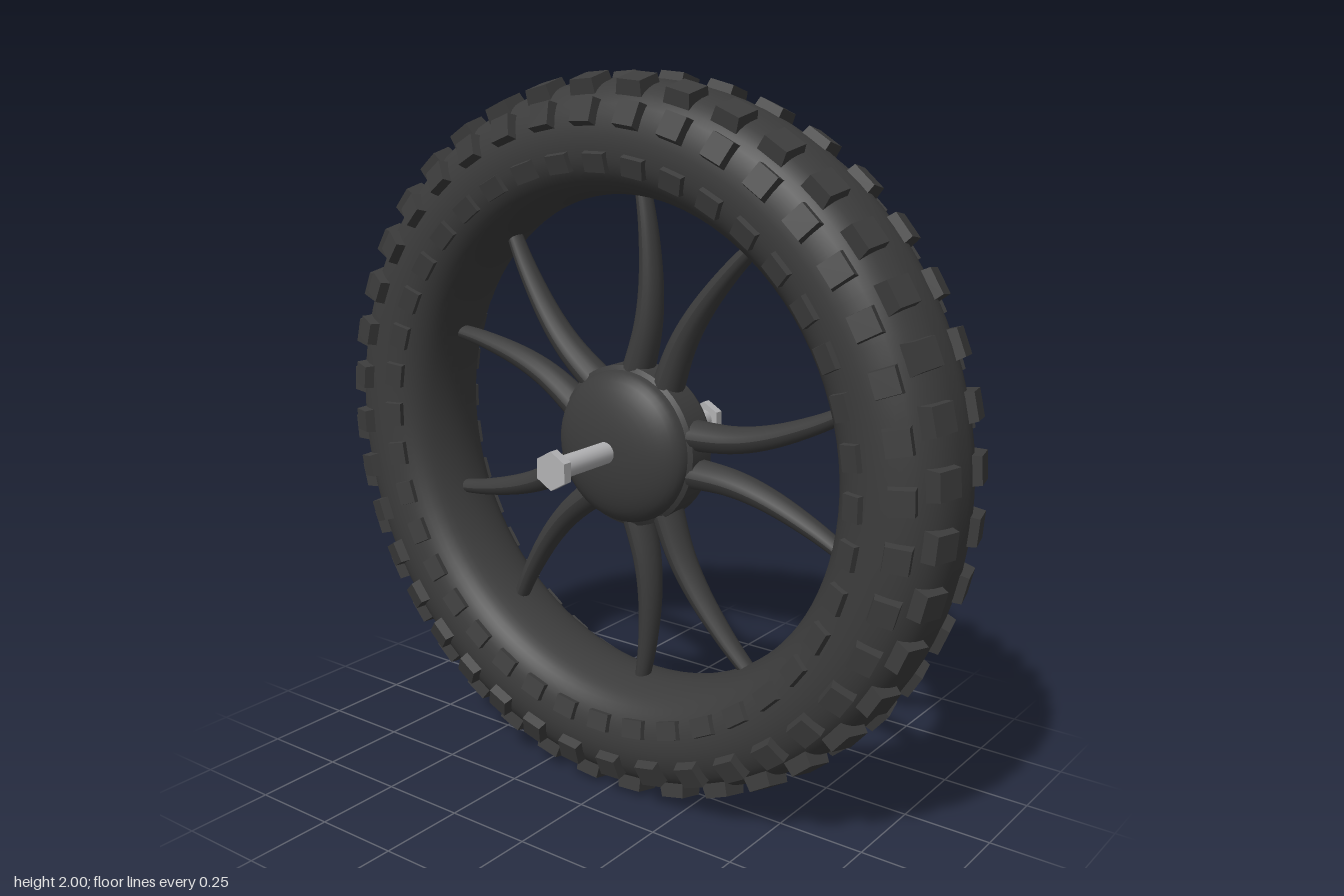
import * as THREE from 'three';
import { mergeGeometries, toCreasedNormals } from 'three/addons/utils/BufferGeometryUtils.js';

const rubber = new THREE.MeshStandardMaterial({ color: 0x3c3c3c });
rubber.name = 'dark rubber';
const steel = new THREE.MeshStandardMaterial({ color: 0xb2b2b4 });
steel.name = 'bolt steel';

const v2 = (x, y) => new THREE.Vector2(x, y);

function add(parent, name, geometry, material) {
  const mesh = new THREE.Mesh(geometry, material);
  mesh.name = name;
  parent.add(mesh);
  return mesh;
}

// Rounded tyre body: half section (radius, z) mirrored into a closed loop
function tyreGeometry() {
  const half = [[0.977, 0.05], [0.96, 0.1], [0.92, 0.143], [0.85, 0.168], [0.78, 0.164],
    [0.735, 0.143], [0.705, 0.11], [0.687, 0.06]];
  const loop = [[0.98, 0], ...half, [0.68, 0], ...half.map(([r, z]) => [r, -z]).reverse()];
  const curve = new THREE.CatmullRomCurve3(loop.map(([r, z]) => new THREE.Vector3(r, z, 0)), true);
  const profile = curve.getPoints(48).map(p => v2(p.x, p.y));
  return new THREE.LatheGeometry(profile, 96).rotateX(Math.PI / 2);
}

// Ring of tapered tread blocks; tilt turns the block from radial towards the side
function treadRow({ r, z, tilt, length, width, phase }, side) {
  const count = 40, blocks = [];
  for (let i = 0; i < count; i++) {
    const block = new THREE.BoxGeometry(length, 0.04, width);
    const p = block.attributes.position;
    for (let k = 0; k < p.count; k++) {
      if (p.getY(k) < 0) p.setXYZ(k, p.getX(k) * 1.12, p.getY(k), p.getZ(k) * 1.12);
    }
    block.computeVertexNormals();
    block.rotateX(tilt * side).translate(0, r, z * side);
    block.rotateZ(-(i * 2 * Math.PI / count + phase));
    blocks.push(block);
  }
  return mergeGeometries(blocks);
}

// Curved spoke thinning from hub to tyre, bent away from its pair axis
function spokeGeometry(side) {
  const path = [[0.14, 0.055], [0.21, 0.053], [0.33, 0.06], [0.44, 0.086], [0.58, 0.142], [0.69, 0.2]];
  const curve = new THREE.CatmullRomCurve3(path.map(([x, y]) => new THREE.Vector3(x, y * side, 0)));
  const steps = 20, radial = 14;
  const geometry = new THREE.TubeGeometry(curve, steps, 1, radial);
  const p = geometry.attributes.position;
  for (let i = 0; i <= steps; i++) {
    const c = curve.getPointAt(i / steps);
    const w = THREE.MathUtils.lerp(0.045, 0.019, i / steps);
    const d = THREE.MathUtils.lerp(0.055, 0.024, i / steps);
    for (let j = 0; j <= radial; j++) {
      const k = i * (radial + 1) + j;
      p.setXYZ(k, c.x + (p.getX(k) - c.x) * w, c.y + (p.getY(k) - c.y) * w, p.getZ(k) * d);
    }
  }
  geometry.computeVertexNormals();
  return geometry;
}

// Short drum with a dome on both faces
function hubGeometry() {
  const dome = [];
  for (let i = 0; i <= 10; i++) {
    const a = (i / 10) * Math.PI / 2;
    dome.push([0.213 * Math.cos(a), 0.05 + 0.085 * Math.sin(a)]);
  }
  const front = [[0.225, 0.042], ...dome];
  const back = front.map(([r, z]) => [r, -z]).reverse();
  const profile = [...back, ...front].map(([r, z]) => v2(Math.max(r, 0), z));
  return toCreasedNormals(new THREE.LatheGeometry(profile, 48).rotateX(Math.PI / 2), 0.5);
}

export function createModel() {
  const model = new THREE.Group();
  model.name = 'spokedWheel';
  const wheel = new THREE.Group();
  wheel.name = 'wheel';
  wheel.position.y = 1;
  model.add(wheel);

  add(wheel, 'tyre', tyreGeometry(), rubber);

  // Three rows of tread on each half of the tyre
  const rows = {
    outerTread: { r: 0.97, z: 0.089, tilt: 0.25, length: 0.072, width: 0.075, phase: Math.PI / 40 },
    shoulderTread: { r: 0.898, z: 0.16, tilt: 1.2, length: 0.064, width: 0.064, phase: -0.041 },
    sidewallTread: { r: 0.776, z: 0.157, tilt: 1.85, length: 0.066, width: 0.05, phase: 0 },
  };
  for (const [name, row] of Object.entries(rows)) {
    add(wheel, name + 'Front', treadRow(row, 1), rubber);
    add(wheel, name + 'Back', treadRow(row, -1), rubber);
  }

  // Five mirrored pairs of spokes
  for (const side of [1, -1]) {
    const geometry = spokeGeometry(side);
    for (let i = 0; i < 5; i++) {
      add(wheel, 'spoke', geometry, rubber).rotation.z = i * Math.PI * 2 / 5;
    }
  }

  add(wheel, 'hub', hubGeometry(), rubber);

  // Axle through the hub with a hexagonal head at each end
  add(wheel, 'axle', new THREE.CylinderGeometry(0.03, 0.03, 0.68, 24).rotateX(Math.PI / 2), steel);
  const head = toCreasedNormals(new THREE.CylinderGeometry(0.053, 0.053, 0.027, 6).rotateX(Math.PI / 2), 0.5);
  for (const side of [1, -1]) {
    add(wheel, 'boltHead', head, steel).position.z = side * 0.346;
  }
  return model;
}
